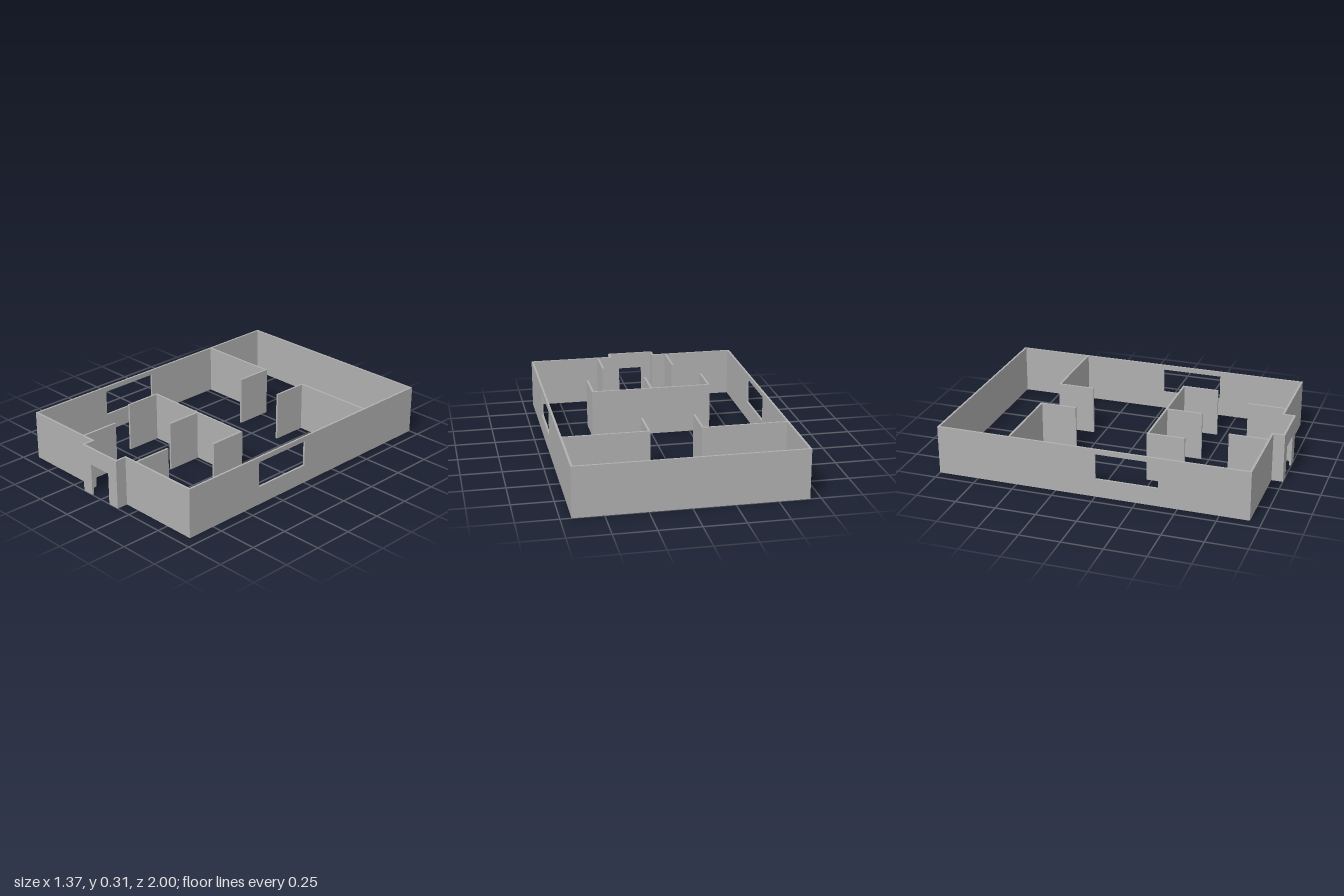
import * as THREE from 'three';

const H = 0.306; // wall height
const T = 0.013; // wall thickness
const W = 0.685; // half width of the house
const FRONT = 0.93; // outer face of the front wall

export function createModel() {
  const house = new THREE.Group();
  house.name = 'floorPlanWalls';
  const plaster = new THREE.MeshStandardMaterial({ color: 0xb0b0b0 });
  plaster.name = 'grey plaster';

  const add = (name, geometry) => {
    const mesh = new THREE.Mesh(geometry, plaster);
    mesh.name = name;
    house.add(mesh);
    return mesh;
  };
  // Full-height wall between two plan corners
  const wall = (name, x0, x1, z0, z1) =>
    add(name, new THREE.BoxGeometry(Math.abs(x1 - x0), H, z1 - z0))
      .position.set((x0 + x1) / 2, H / 2, (z0 + z1) / 2);
  const polygon = (pts) => pts.map(([x, y]) => new THREE.Vector2(x, y));
  const extrude = (shape) => new THREE.ExtrudeGeometry(shape, { depth: T, bevelEnabled: false });

  // Back wall
  wall('backWall', -W, W, -1, -1 + T);

  // Side walls, each with one window opening (shape x runs along z)
  const z0 = -1 + T, z1 = FRONT;
  for (const s of [-1, 1]) {
    const side = new THREE.Shape(polygon([[-z1, 0], [-z0, 0], [-z0, H], [-z1, H]]));
    side.holes.push(new THREE.Path(polygon([[-0.385, 0.115], [-0.385, 0.275], [0, 0.275], [0, 0.115]])));
    const mesh = add(s > 0 ? 'leftSideWall' : 'rightSideWall', extrude(side));
    mesh.rotation.y = Math.PI / 2;
    mesh.position.x = s > 0 ? W - T : -W;
  }

  // Porch front with a doorway
  const P = 0.152, D = 0.077, DH = 0.2;
  const porch = new THREE.Shape(polygon([
    [-P, 0], [-D, 0], [-D, DH], [D, DH], [D, 0], [P, 0], [P, H], [-P, H],
  ]));
  add('porchDoorWall', extrude(porch)).position.z = 1 - T;

  // Mirrored walls
  for (const s of [-1, 1]) {
    const n = s > 0 ? 'left' : 'right';
    wall(n + 'FrontWall', s * P, s * (W - T), FRONT - T, FRONT);
    wall(n + 'PorchSide', s * (P - T), s * P, FRONT - T, 1 - T);
    wall(n + 'EntryPartition', s * 0.228, s * 0.241, 0.68, FRONT - T);
    wall(n + 'BackPartition', s * 0.154, s * (W - T), -0.546, -0.546 + T);
    wall(n + 'BackPartitionReturn', s * 0.154, s * 0.167, -0.546 + T, -0.312);
    wall(n + 'MiddleReturn', s * (0.381 - T), s * 0.381, 0.217 + T, 0.451);
  }

  // Central partition and its middle divider
  wall('middlePartition', -0.381, 0.381, 0.217, 0.217 + T);
  wall('middleDivider', -T / 2, T / 2, 0.217 + T, 0.451);

  return house;
}
